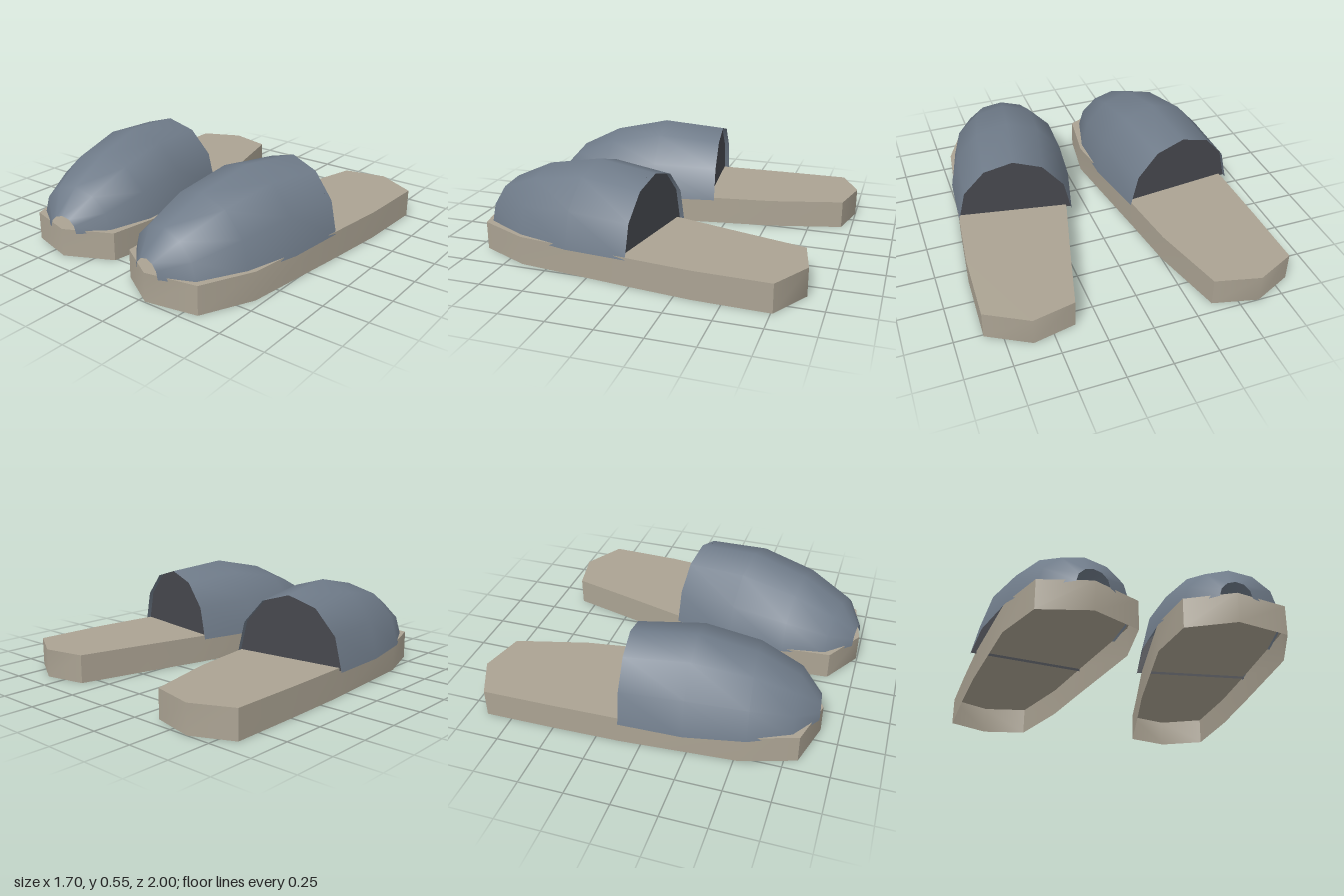
import * as THREE from 'three';
import { toCreasedNormals } from 'three/addons/utils/BufferGeometryUtils.js';

const SOLE_H = 0.16;
const UPPER_BASE = 0.145;
const SEGMENTS = 6;
// apex heights of the upper's arches, from the opening to the toe hole
const APEX = [0.515, 0.547, 0.477, 0.36, 0.23];

// outline: sole corners [x, z], clockwise from above
// arches: base ends [x, z, x, z] of each arch, from the opening to the toe hole
const SLIPPERS = {
  rightSlipper: {
    outline: [[-0.835, -0.895], [-0.61, -1], [-0.36, -0.94], [-0.25, -0.525], [-0.2, -0.185],
      [-0.1, 0.455], [-0.145, 0.765], [-0.41, 0.895], [-0.68, 0.82], [-0.775, 0.53],
      [-0.82, -0.115], [-0.83, -0.5]],
    arches: [[-0.85, -0.11, -0.195, -0.18], [-0.84, 0.24, -0.125, 0.195],
      [-0.775, 0.565, -0.12, 0.5], [-0.67, 0.78, -0.185, 0.745], [-0.5, 0.89, -0.325, 0.87]],
  },
  leftSlipper: {
    outline: [[0.375, -0.84], [0.615, -0.89], [0.845, -0.76], [0.83, -0.345], [0.79, 0.015],
      [0.71, 0.655], [0.575, 0.94], [0.285, 0.995], [0.055, 0.855], [0.035, 0.56],
      [0.175, -0.09], [0.27, -0.44]],
    arches: [[0.145, -0.095, 0.79, 0.02], [0.055, 0.25, 0.76, 0.37],
      [0.03, 0.58, 0.68, 0.675], [0.07, 0.82, 0.55, 0.915], [0.205, 0.965, 0.37, 0.99]],
  },
};

function geometryFrom(points, index) {
  const geo = new THREE.BufferGeometry().setFromPoints(points);
  geo.setIndex(index);
  geo.computeVertexNormals();
  return geo;
}

// half-ellipse standing on the line between two base points
function archPoints([ax, az, bx, bz], apex) {
  const points = [];
  for (let j = 0; j <= SEGMENTS; j++) {
    const angle = (Math.PI * j) / SEGMENTS;
    const t = (1 - Math.cos(angle)) / 2;
    points.push(new THREE.Vector3(ax + (bx - ax) * t,
      UPPER_BASE + Math.sin(angle) * (apex - UPPER_BASE), az + (bz - az) * t));
  }
  return points;
}

function soleTop(outline) {
  const shape = new THREE.Shape(outline.map(([x, z]) => new THREE.Vector2(x, -z)));
  return new THREE.ShapeGeometry(shape).rotateX(-Math.PI / 2).translate(0, SOLE_H, 0);
}

// open-bottomed side wall
function soleWall(outline) {
  const points = [];
  const index = [];
  const n = outline.length;
  outline.forEach(([x, z], i) => {
    points.push(new THREE.Vector3(x, 0, z), new THREE.Vector3(x, SOLE_H, z));
    const p = 2 * i;
    const q = 2 * ((i + 1) % n);
    index.push(q, p, p + 1, q, p + 1, q + 1);
  });
  return toCreasedNormals(geometryFrom(points, index), 0.8);
}

function upperShell(rings) {
  const index = [];
  const w = SEGMENTS + 1;
  for (let i = 0; i < rings.length - 1; i++) {
    for (let j = 0; j < SEGMENTS; j++) {
      const a = i * w + j;
      index.push(a, a + w, a + 1, a + 1, a + w, a + w + 1);
    }
  }
  return geometryFrom(rings.flat(), index);
}

// dark panel set just inside the opening
function openingPanel(rings) {
  const points = rings[0].map((p, j) => p.clone().lerp(rings[1][j], 0.08));
  const index = [];
  for (let j = 1; j < SEGMENTS; j++) index.push(0, j, j + 1);
  return geometryFrom(points, index);
}

export function createModel() {
  const material = (name, color) => {
    const m = new THREE.MeshStandardMaterial({ color, side: THREE.DoubleSide });
    m.name = name;
    return m;
  };
  const tan = material('tan sole', 0xaba393);
  const slate = material('slate fabric', 0x6f7b89);
  const dark = material('dark lining', 0x46484e);

  const model = new THREE.Group();
  model.name = 'slippers';
  for (const [name, { outline, arches }] of Object.entries(SLIPPERS)) {
    const slipper = new THREE.Group();
    slipper.name = name;
    const add = (part, geometry, mat) => {
      const mesh = new THREE.Mesh(geometry, mat);
      mesh.name = part;
      slipper.add(mesh);
    };
    const rings = arches.map((ends, i) => archPoints(ends, APEX[i]));
    add('soleTop', soleTop(outline), tan);
    add('soleWall', soleWall(outline), tan);
    add('upper', upperShell(rings), slate);
    add('openingPanel', openingPanel(rings), dark);
    model.add(slipper);
  }
  return model;
}
